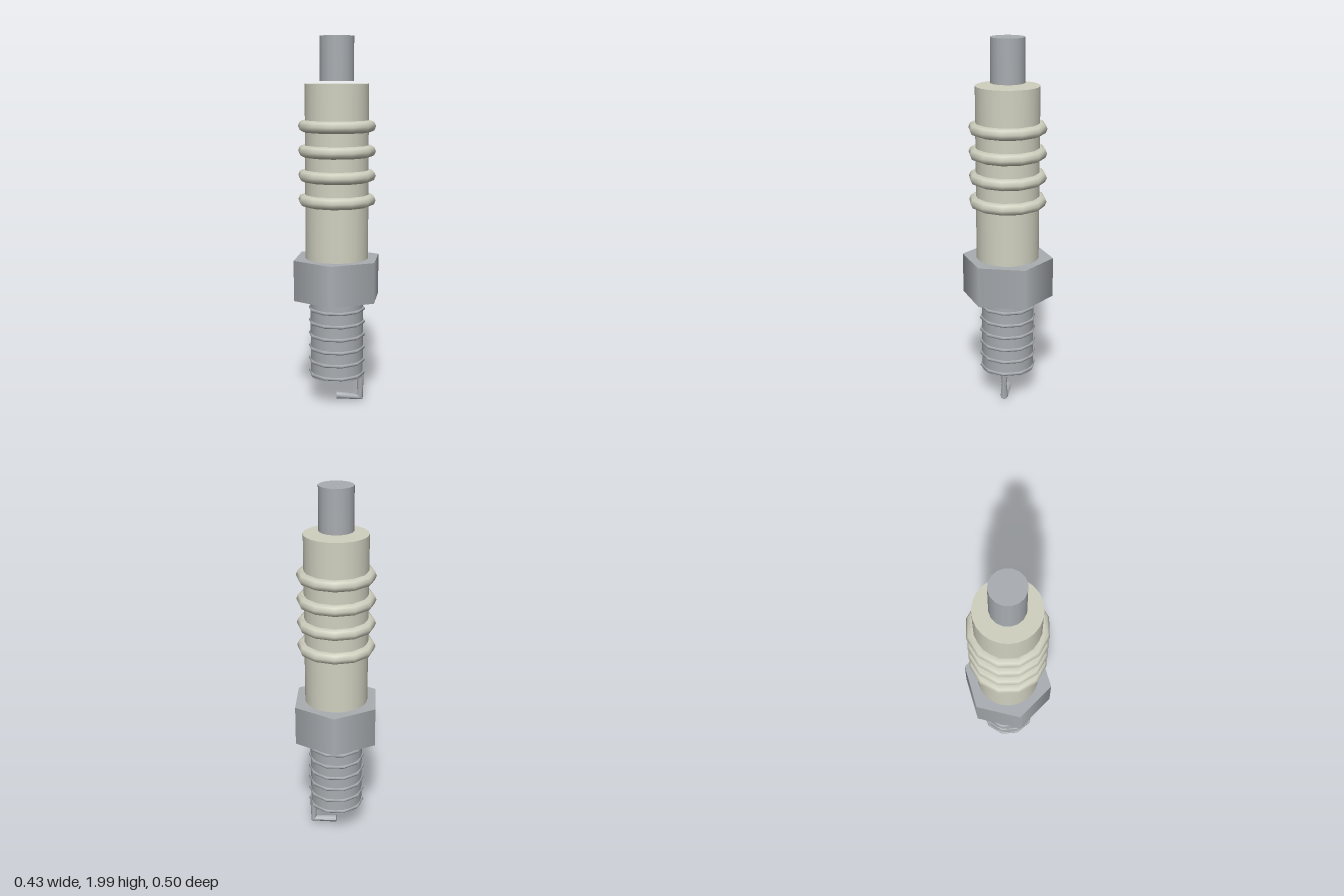
import * as THREE from 'three';

const metal = new THREE.MeshStandardMaterial({ color: 0xa9adb1 });
metal.name = 'steel grey';
const ceramic = new THREE.MeshStandardMaterial({ color: 0xd0d0c0 });
ceramic.name = 'ceramic cream';

export function createModel() {
  const model = new THREE.Group();
  model.name = 'sparkPlug';

  const add = (name, geometry, material) => {
    const mesh = new THREE.Mesh(geometry, material);
    mesh.name = name;
    model.add(mesh);
    return mesh;
  };
  // Upright cylinder between two heights
  const post = (name, radius, y0, y1, sides, material) =>
    add(name, new THREE.CylinderGeometry(radius, radius, y1 - y0, sides).translate(0, (y0 + y1) / 2, 0), material);
  // Horizontal ring, with a corner on the x axis
  const ring = (name, radius, tube, y, tubeSides, sides, material) =>
    add(name, new THREE.TorusGeometry(radius, tube, tubeSides, sides).rotateX(Math.PI / 2).translate(0, y, 0), material);

  // Main stack, with small gaps above and below
  post('terminal', 0.092, 1.767, 2, 16, metal);
  post('insulator', 0.171, 0.81, 1.752, 24, ceramic);
  post('hexNut', 0.25, 0.595, 0.816, 6, metal);
  post('threadCore', 0.145, 0.152, 0.579, 24, metal);

  // Insulator ribs and thread rings
  for (let i = 0; i < 4; i++) ring('insulatorRib', 0.178, 0.032, 1.134 + i * 0.132, 8, 12, ceramic);
  for (let i = 0; i < 6; i++) ring('threadRing', 0.147, 0.01, 0.17 + i * 0.0728, 6, 10, metal);

  // Bent ground electrode: each leg narrows to a slanted joint at the corner
  const corner = new THREE.Vector3(0.131, 0.028, 0);
  const leg = (length, radius, waist) => {
    const g = new THREE.CylinderGeometry(radius, radius, length, 8, 2).translate(0, length / 2, 0);
    const p = g.attributes.position;
    for (let i = 0; i < p.count; i++) {
      const y = p.getY(i);
      if (y < 0.001) {
        p.setX(i, p.getX(i) * 0.7);
        p.setY(i, -p.getX(i));
      } else if (y < length - 0.001) {
        p.setX(i, p.getX(i) * 0.85);
        p.setZ(i, p.getZ(i) * waist);
      }
    }
    g.computeVertexNormals();
    return g;
  };
  add('electrodeStem', leg(0.152, 0.021, 0.65), metal).position.copy(corner);
  // Turn half about the slanted axis so the joints meet
  const tip = add('electrodeTip', leg(0.131, 0.021, 1), metal);
  tip.position.copy(corner);
  tip.quaternion.setFromAxisAngle(new THREE.Vector3(-1, 1, 0).normalize(), Math.PI);

  return model;
}
